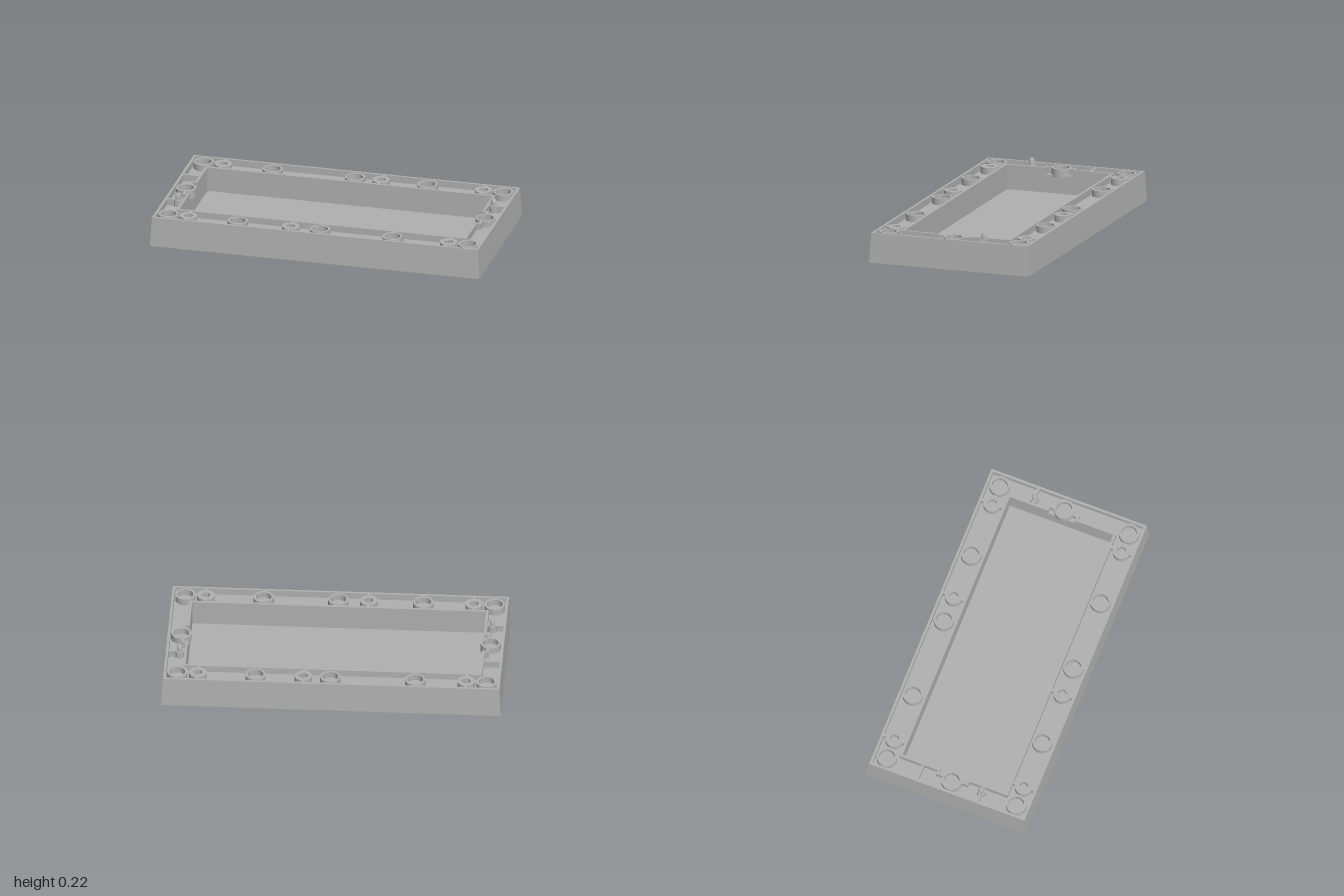
import * as THREE from 'three';
import { toCreasedNormals } from 'three/addons/utils/BufferGeometryUtils.js';

const FLOOR = 0.03, LEDGE = 0.14, TOP = 0.18;

export function createModel() {
  const root = new THREE.Group();
  root.name = 'hollowTray';
  const grey = new THREE.MeshStandardMaterial({ color: 0xb0b0b0 });
  grey.name = 'grey plastic';

  const add = (name, geometry, x = 0, z = 0) => {
    const mesh = new THREE.Mesh(geometry, grey);
    mesh.name = name;
    mesh.position.set(x, 0, z);
    root.add(mesh);
  };

  // Rectangle, optionally hollow, extruded upwards; its outer sides lean inwards.
  const rectPath = (target, w, d) =>
    target.moveTo(-w, -d).lineTo(w, -d).lineTo(w, d).lineTo(-w, d).closePath();
  const frame = (name, y0, y1, hole) => {
    const shape = rectPath(new THREE.Shape(), 1, 0.5);
    if (hole) shape.holes.push(rectPath(new THREE.Path(), ...hole));
    const g = new THREE.ExtrudeGeometry(shape, { depth: y1 - y0, bevelEnabled: false });
    g.rotateX(-Math.PI / 2).translate(0, y0, 0);
    const p = g.attributes.position;
    for (let i = 0; i < p.count; i++) {
      if (Math.abs(p.getX(i)) < 0.99) continue;
      const inset = 0.01 * p.getY(i) / TOP;
      p.setX(i, Math.sign(p.getX(i)) * (1 - inset));
      p.setZ(i, Math.sign(p.getZ(i)) * (0.5 - inset));
    }
    g.computeVertexNormals();
    add(name, g);
  };
  frame('bottomPlate', 0, FLOOR);
  frame('bodyFrame', FLOOR, LEDGE, [0.865, 0.326]);
  frame('outerRim', LEDGE, TOP, [0.975, 0.475]);

  // Thin upright walls standing on the ledge
  const wall = (name, x0, x1, z0, z1) => {
    const g = new THREE.BoxGeometry(Math.abs(x1 - x0), TOP - LEDGE, Math.abs(z1 - z0));
    g.translate(0, (TOP + LEDGE) / 2, 0);
    add(name, g, (x0 + x1) / 2, (z0 + z1) / 2);
  };
  for (const s of [-1, 1]) {
    wall('longInnerWall', -0.88, 0.88, s * 0.326, s * 0.342);
    for (const t of [-1, 1]) {
      wall('shortInnerWall', s * 0.865, s * 0.88, t * 0.085, t * 0.33);
      wall('wallStep', s * 0.88, s * 0.905, t * 0.085, t * 0.1);
      wall('cupWall', s * 0.89, s * 0.905, t * 0.053, t * 0.09);
    }
  }
  wall('endRib', -0.98, -0.875, -0.2, -0.184);

  // Round parts turned from a profile
  const turned = (points) => toCreasedNormals(
    new THREE.LatheGeometry(points.map(([r, y]) => new THREE.Vector2(r, y)), 32), 0.6);
  const cup = (outer, inner) => turned([
    [0, 0.13], [outer, 0.13], [outer, TOP], [inner, TOP], [inner, 0.143], [0, 0.143],
  ]);

  // Open cups along the edges
  const cupGeometry = cup(0.06, 0.046);
  for (const s of [-1, 1]) {
    for (const x of [-0.91, -0.49, 0.01, 0.45, 0.91]) add('roundCup', cupGeometry, x, s * 0.408);
    add('endCup', cupGeometry, s * 0.91, 0);
  }

  // Screw bosses held by a rib on each side
  const bossGeometry = cup(0.052, 0.026);
  for (const s of [-1, 1]) {
    for (const x of [-0.79, -s * 0.168, 0.79]) {
      add('screwBoss', bossGeometry, x, s * 0.408);
      wall('bossRib', x - 0.008, x + 0.008, s * 0.335, s * 0.365);
      wall('bossRib', x - 0.008, x + 0.008, s * 0.45, s * 0.48);
    }
  }

  // Locating pegs at opposite corners
  const pegGeometry = turned([
    [0, 0.13], [0.025, 0.13], [0.025, TOP], [0.016, TOP], [0.016, 0.213], [0.012, 0.22], [0, 0.22],
  ]);
  for (const s of [-1, 1]) {
    add('locatingPeg', pegGeometry, s * 0.91, -s * 0.188);
    wall('pegRib', s * 0.87, s * 0.98, -s * 0.196, -s * 0.18);
  }

  return root;
}
